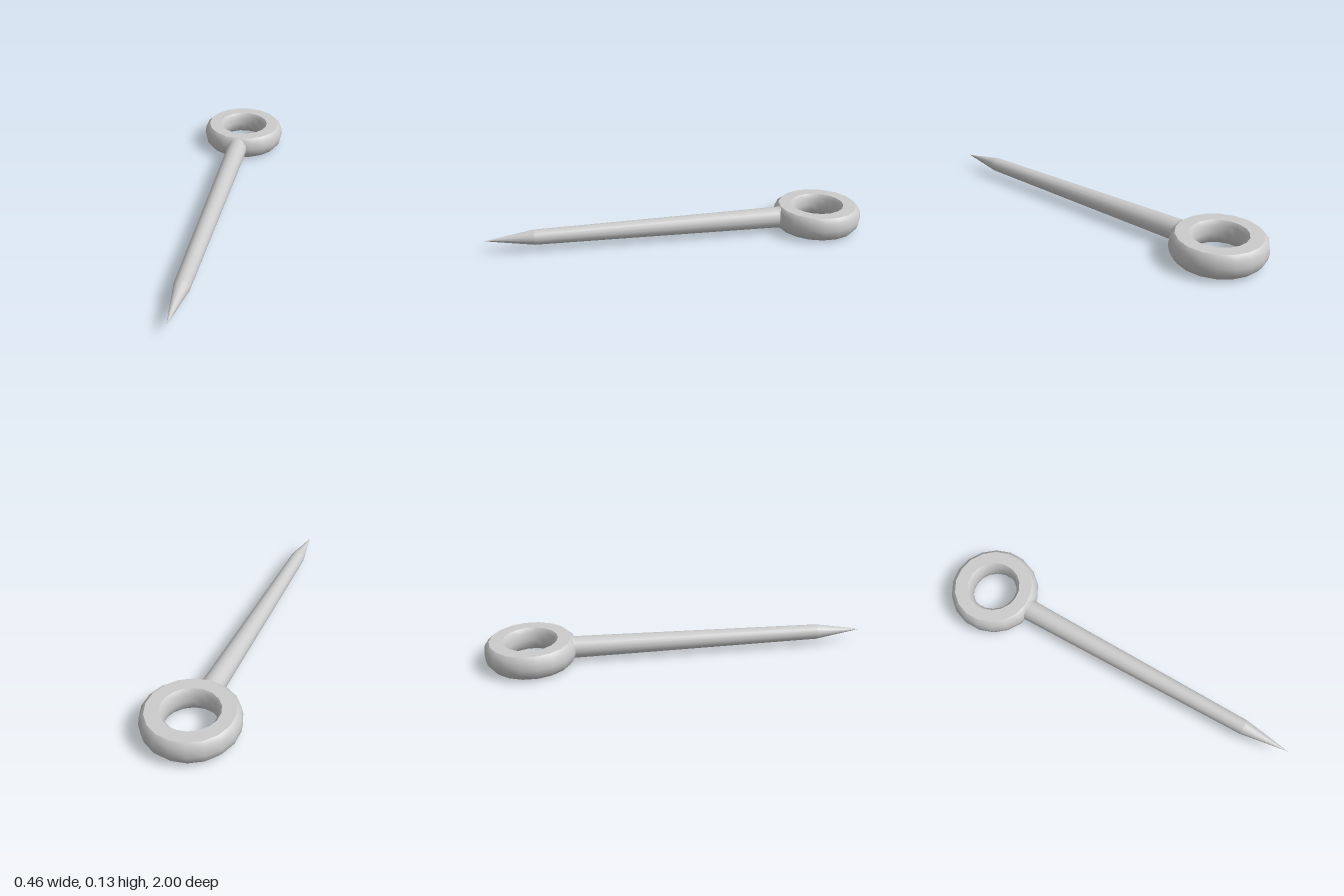
import * as THREE from 'three';

const material = new THREE.MeshStandardMaterial({ color: 0xcccccc, side: THREE.DoubleSide });

// Revolve [radius, height] pairs about the y axis
function revolve(name, profile, sides) {
  const points = profile.map(([r, h]) => new THREE.Vector2(r, h));
  const mesh = new THREE.Mesh(new THREE.LatheGeometry(points, sides), material);
  mesh.name = name;
  return mesh;
}

export function createModel() {
  const model = new THREE.Group();
  model.name = 'eyePin';

  // Ring: rounded tube section with a flat, sharp-edged top
  const ring = new THREE.Group();
  ring.name = 'ring';
  ring.position.z = -0.765;
  ring.add(
    revolve('ringBody', [
      [0.14, 0.132], [0.124, 0.112], [0.118, 0.07], [0.124, 0.036], [0.142, 0.01],
      [0.175, 0], [0.208, 0.01], [0.228, 0.036], [0.235, 0.07], [0.228, 0.112], [0.207, 0.132],
    ], 18),
    revolve('ringTop', [[0.207, 0.132], [0.14, 0.132]], 18),
  );
  model.add(ring);

  // Pin: tapered shaft flaring into the ring, ending in a cone
  const pin = new THREE.Group();
  pin.name = 'pin';
  pin.position.y = 0.071;
  pin.rotation.x = Math.PI / 2;
  pin.add(
    revolve('flare', [[0.062, -0.61], [0.062, -0.575], [0.056, -0.54]], 16),
    revolve('shaft', [[0.056, -0.54], [0.039, 0.75]], 16),
    revolve('point', [[0.039, 0.75], [0, 1]], 16),
  );
  model.add(pin);

  return model;
}
